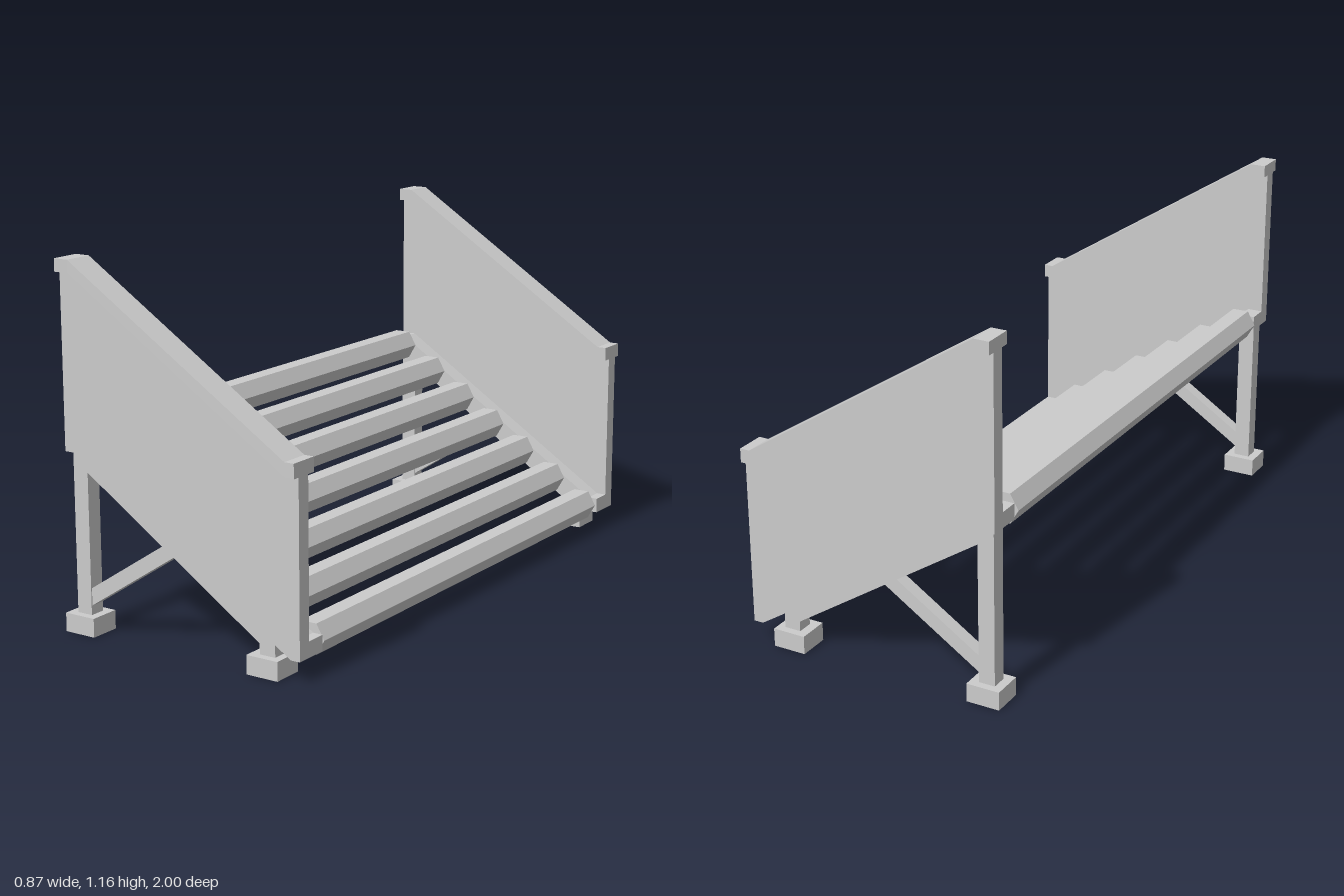
import * as THREE from 'three';

const mat = new THREE.MeshStandardMaterial({ color: 0xcccccc, flatShading: true });
const openMat = new THREE.MeshStandardMaterial({ color: 0xcccccc, flatShading: true, side: THREE.DoubleSide });

// Side profile in x/y, extruded between two depths
function plate(name, points, z0, z1) {
  const shape = new THREE.Shape(points.map(([x, y]) => new THREE.Vector2(x, y)));
  const geo = new THREE.ExtrudeGeometry(shape, { depth: Math.abs(z1 - z0), bevelEnabled: false });
  geo.translate(0, 0, Math.min(z0, z1));
  const mesh = new THREE.Mesh(geo, mat);
  mesh.name = name;
  return mesh;
}

// Band that runs level, slopes down, then runs level again
function slopedBand(topLeft, topRight, botLeft, botRight) {
  return [
    [-0.425, botLeft], [-0.375, botLeft], [0.4, botRight], [0.432, botRight],
    [0.432, topRight], [0.4, topRight], [-0.375, topLeft], [-0.425, topLeft],
  ];
}

// Shallow foot, open underneath
function foot(x, z) {
  const geo = new THREE.BoxGeometry(0.11, 0.06, 0.102);
  const index = Array.from(geo.index.array);
  index.splice(18, 6); // drop the bottom face
  geo.setIndex(index);
  const mesh = new THREE.Mesh(geo, openMat);
  mesh.position.set(x, 0.03, z);
  mesh.name = 'foot';
  return mesh;
}

function createSide(s) {
  const side = new THREE.Group();
  side.name = s > 0 ? 'frontSide' : 'backSide';
  const legZ = s > 0 ? 0.936 : -0.925;
  const l0 = legZ - 0.026, l1 = legZ + 0.026;

  // Solid side wall, its cap and the inner stringer carrying the bars
  side.add(plate('sidePanel', slopedBand(1.12, 0.615, 0.57, 0.07), s * 0.93, s * 0.977));
  side.add(plate('handrailCap', slopedBand(1.16, 0.66, 1.12, 0.615), s * 0.902, s));
  side.add(plate('stringer', slopedBand(0.62, 0.12, 0.57, 0.07), s * 0.863, s * 0.93));

  // Support frame below
  side.add(plate('tallLeg', [[-0.407, 0.06], [-0.353, 0.06], [-0.353, 0.556], [-0.375, 0.57], [-0.407, 0.57]], l0, l1));
  side.add(plate('shortLeg', [[0.28, 0.06], [0.335, 0.06], [0.335, 0.112], [0.28, 0.148]], l0, l1));
  side.add(plate('lowerRail', [[-0.353, 0.51], [0.28, 0.093], [0.28, 0.148], [-0.353, 0.556]], l0, l1));
  side.add(plate('brace', [[-0.353, 0.09], [-0.03, 0.299], [-0.07, 0.328], [-0.353, 0.145]], legZ - 0.022, legZ + 0.022));
  side.add(foot(-0.38, legZ), foot(0.305, legZ));
  return side;
}

export function createModel() {
  const model = new THREE.Group();
  model.name = 'slopedRoller';
  model.add(createSide(1), createSide(-1));

  // Seven hexagonal bars stepping down the slope
  const barGeo = new THREE.CylinderGeometry(0.055, 0.055, 1.705, 6);
  barGeo.rotateY(Math.PI / 2); // puts corners left and right
  barGeo.rotateX(Math.PI / 2);
  for (let i = 0; i < 7; i++) {
    const bar = new THREE.Mesh(barGeo, mat);
    bar.position.set(-0.378 + 0.1257 * i, 0.594 - 0.0827 * i, 0);
    bar.name = 'bar';
    model.add(bar);
  }
  return model;
}
